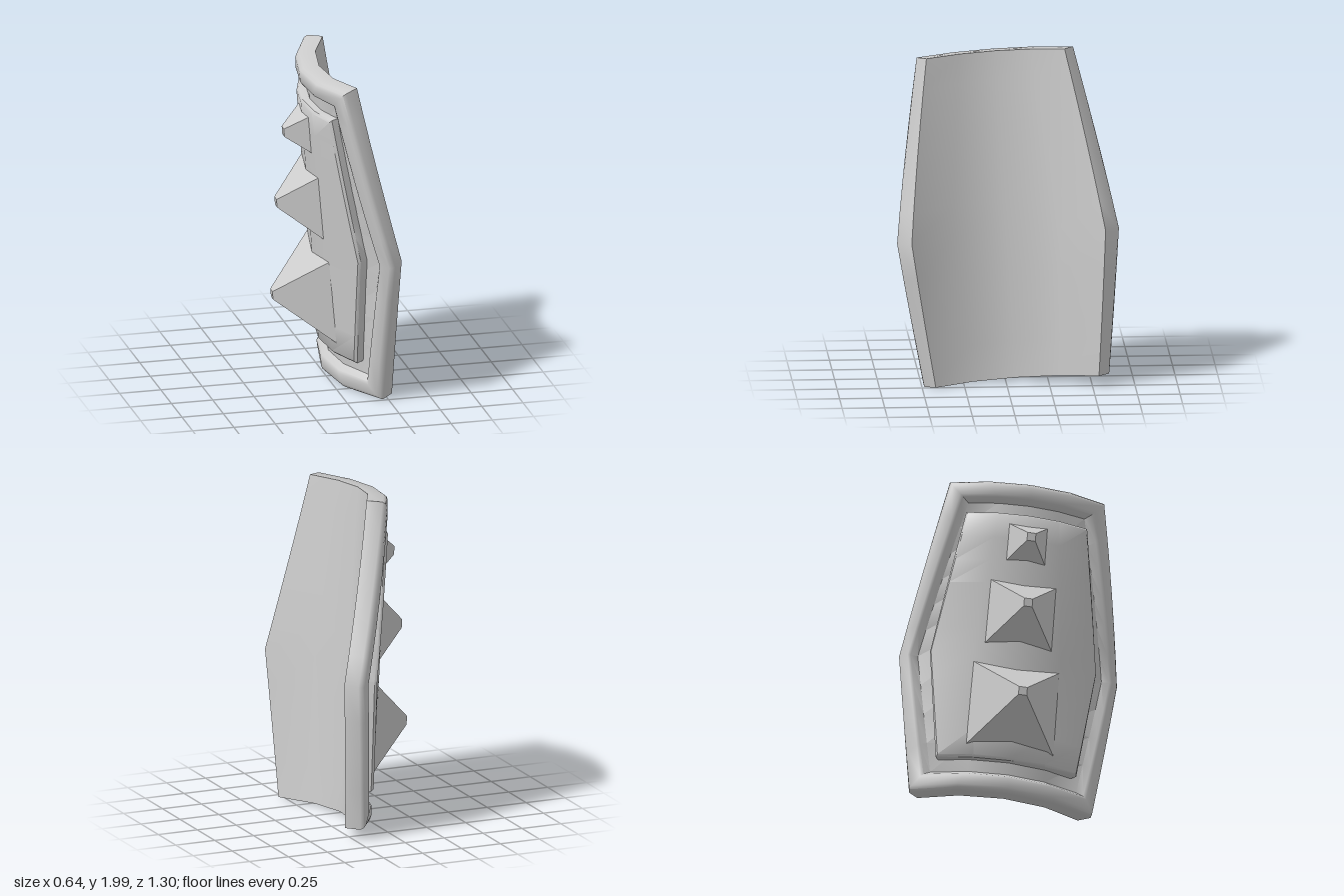
import * as THREE from 'three';
import { toCreasedNormals } from 'three/addons/utils/BufferGeometryUtils.js';

const R = 0.72;      // radius of the hollow inner face
const MID = -0.1;    // height of the widest point
const ACROSS = 4, LOWER = 4, UPPER = 6;

// Point on a curved sheet: angle a around the upright axis, height v, radius r
const point = (a, v, r) => [R - r * Math.cos(a), v, r * Math.sin(a)];

// Six-sided outline wrapped on the cylinder, as rows of points
function sheet({ top, mid, bottom, height }, inset, r) {
  const h = height - inset, da = inset * 1.15;
  const rows = [];
  for (let j = 0; j <= LOWER + UPPER; j++) {
    const low = j <= LOWER;
    const t = low ? j / LOWER : (j - LOWER) / UPPER;
    const v = low ? THREE.MathUtils.lerp(-h, MID, t) : THREE.MathUtils.lerp(MID, h, t);
    const a = (low ? THREE.MathUtils.lerp(bottom, mid, t) : THREE.MathUtils.lerp(mid, top, t)) - da;
    const row = [];
    for (let i = 0; i <= ACROSS; i++) row.push(point(a * (2 * i / ACROSS - 1), v, r));
    rows.push(row);
  }
  return rows;
}

// Boundary of a sheet, in order
function border(rows) {
  const n = rows.length - 1;
  return [
    ...rows[0].slice(0, -1),
    ...rows.slice(0, n).map(row => row[ACROSS]),
    ...rows[n].slice(1).reverse(),
    ...rows.slice(1).map(row => row[0]).reverse(),
  ];
}

// Solid plate: back sheet, edge steps [inset, radius], front sheet
function plate(outline, steps) {
  const pos = [];
  const quad = (a, b, c, d) => pos.push(...a, ...b, ...c, ...a, ...c, ...d);
  const sheets = steps.map(([inset, r]) => sheet(outline, inset, r));
  const fill = (rows, flip) => {
    for (let j = 0; j < rows.length - 1; j++) for (let i = 0; i < ACROSS; i++) {
      const q = [rows[j][i], rows[j][i + 1], rows[j + 1][i + 1], rows[j + 1][i]];
      quad(...(flip ? q.reverse() : q));
    }
  };
  fill(sheets[0], true);
  fill(sheets[sheets.length - 1], false);
  const loops = sheets.map(border);
  for (let s = 0; s < loops.length - 1; s++) {
    const a = loops[s], b = loops[s + 1];
    a.forEach((p, k) => {
      const n = (k + 1) % a.length;
      quad(p, a[n], b[n], b[k]);
    });
  }
  const geo = new THREE.BufferGeometry();
  geo.setAttribute('position', new THREE.Float32BufferAttribute(pos, 3));
  return toCreasedNormals(geo, 0.82);
}

export function createModel() {
  const group = new THREE.Group();
  const body = new THREE.Group();
  body.name = 'curvedPlate';
  const smooth = new THREE.MeshStandardMaterial({ color: 0xcccccc });
  const flat = new THREE.MeshStandardMaterial({ color: 0xcccccc, flatShading: true });
  const add = (name, geo, mat) => {
    const mesh = new THREE.Mesh(geo, mat);
    mesh.name = name;
    body.add(mesh);
    return mesh;
  };

  // Backing plate with a raised rim
  add('rimmedPlate', plate(
    { top: 0.6, mid: 0.914, bottom: 0.73, height: 0.97 },
    [[0, R], [0, 0.815], [0.012, 0.833], [0.03, 0.84], [0.085, 0.84], [0.1, 0.83], [0.125, 0.79]]), smooth);

  // Raised centre panel
  add('raisedPanel', plate(
    { top: 0.45, mid: 0.64, bottom: 0.53, height: 0.77 },
    [[0, 0.76], [0, 0.832], [0.014, 0.845]]), smooth);

  // Row of blunt pyramid spikes: height up the plate, half width, length
  const sink = 0.07, tip = 0.025;
  [[-0.43, 0.225, 0.26], [0.15, 0.175, 0.195], [0.59, 0.105, 0.12]].forEach(([v, half, length]) => {
    const base = half + (half - tip) / length * sink;
    const geo = new THREE.CylinderGeometry(tip * Math.SQRT2, base * Math.SQRT2, length + sink, 4);
    geo.rotateY(Math.PI / 4).rotateZ(Math.PI / 2);
    add('spike', geo, flat).position.set(-0.125 - length + (length + sink) / 2, v, 0);
  });

  // Slight lean of the whole plate
  body.rotation.set(0.06, 0, 0.085);
  body.position.set(0.025, 0.995, 0);
  group.add(body);
  return group;
}
